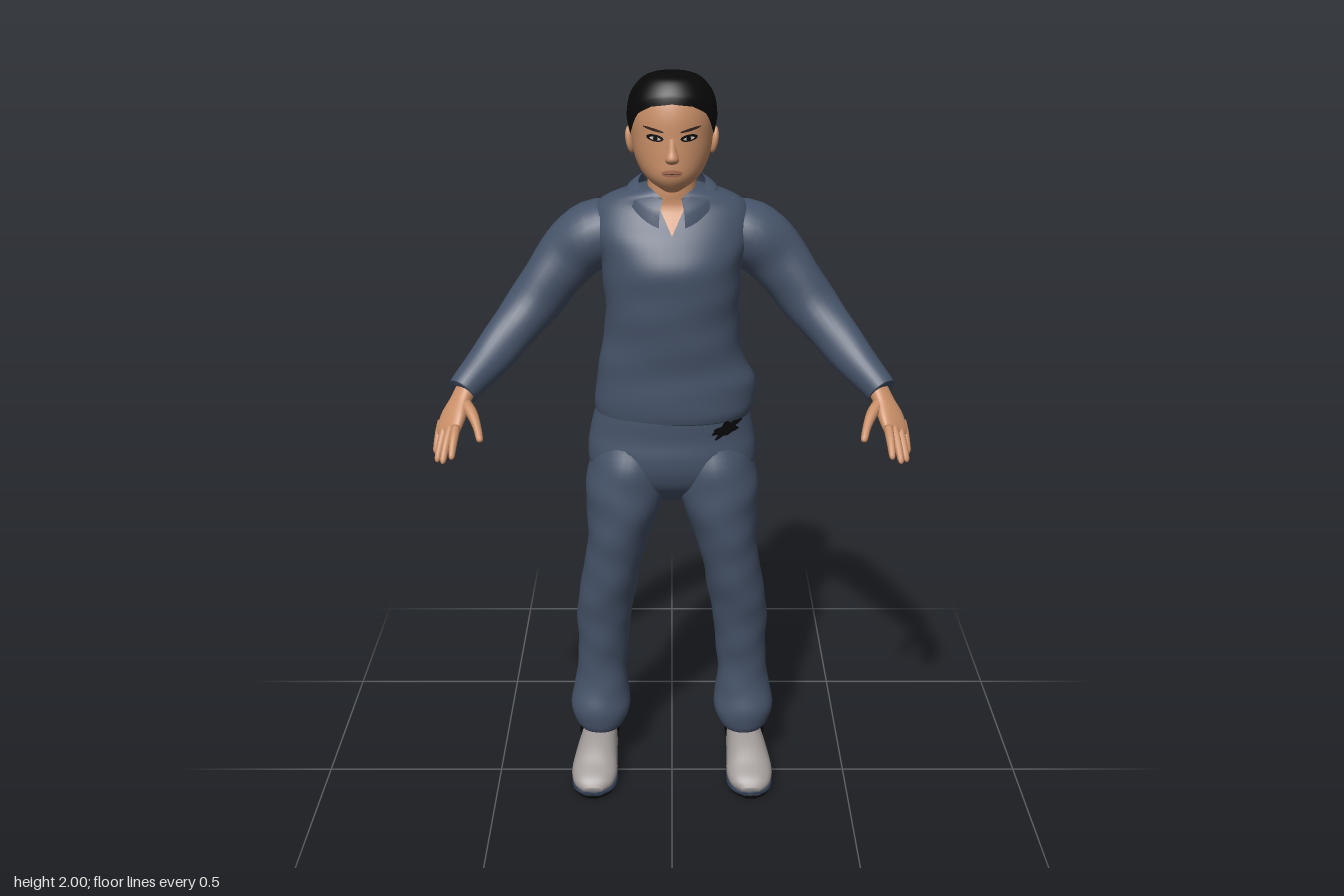
import * as THREE from 'three';
import { mergeVertices } from 'three/addons/utils/BufferGeometryUtils.js';

const mat = (name, color, side = THREE.FrontSide) => {
  const m = new THREE.MeshStandardMaterial({ color, side });
  m.name = name;
  return m;
};

// Smooth surface from a rule fn(u, v) -> [x, y, z]; s = -1 mirrors it in x.
function grid(nu, nv, fn, s = 1) {
  const pos = [], idx = [];
  for (let j = 0; j <= nv; j++) for (let i = 0; i <= nu; i++) {
    const p = fn(i / nu, j / nv);
    pos.push(p[0] * s, p[1], p[2]);
  }
  for (let j = 0; j < nv; j++) for (let i = 0; i < nu; i++) {
    const a = j * (nu + 1) + i, b = a + 1, c = a + nu + 1, d = c + 1;
    if (s > 0) idx.push(a, b, d, a, d, c);
    else idx.push(a, d, b, a, c, d);
  }
  let g = new THREE.BufferGeometry();
  g.setAttribute('position', new THREE.Float32BufferAttribute(pos, 3));
  g.setIndex(idx);
  g = mergeVertices(g, 1e-5);
  g.computeVertexNormals();
  return g;
}

// Catmull-Rom sample of a list of number rows at fractional index t.
function sample(keys, t) {
  const n = keys.length - 1, i = Math.min(Math.floor(t), n - 1), f = t - i;
  const [a, b, c, d] = [i - 1, i, i + 1, i + 2].map(k => keys[Math.min(Math.max(k, 0), n)]);
  return b.map((_, k) => b[k] + 0.5 * f * (c[k] - a[k] + f * (2 * a[k] - 5 * b[k] + 4 * c[k] - d[k]
    + f * (3 * (b[k] - c[k]) + d[k] - a[k]))));
}

const pw = (c, n) => Math.sign(c) * Math.abs(c) ** (2 / n);

// Closed loft through rows [x, y, z, ru, rv]. Without ref the rings are level (ru = z, rv = x, rows go up).
function loft(keys, { ref = null, seg = 28, steps = 5, n = 2, fold = 0, s = 1 } = {}) {
  const last = keys.length - 1, rows = last * steps + 2;
  return grid(seg, rows, (u, v) => {
    const r = Math.round(v * rows), cap = r === 0 || r === rows;
    const t = Math.min(Math.max((r - 1) / steps, 0), last);
    const k = sample(keys, t);
    let U = new THREE.Vector3(0, 0, 1), V = new THREE.Vector3(1, 0, 0);
    if (ref) {
      const p = sample(keys, Math.max(t - 0.05, 0)), q = sample(keys, Math.min(t + 0.05, last));
      const T = new THREE.Vector3(q[0] - p[0], q[1] - p[1], q[2] - p[2]).normalize();
      U = new THREE.Vector3(...ref).cross(T).normalize();
      V = T.clone().cross(U);
    }
    const a = (Math.round(u * seg) % seg) / seg * Math.PI * 2;
    const w = cap ? 0 : 1 + fold * (Math.sin(3 * a + k[1] * 34) + Math.sin(2 * a - k[1] * 57)) / 2;
    const cu = pw(Math.cos(a), n) * Math.max(k[3], 0) * w, cv = pw(Math.sin(a), n) * Math.max(k[4], 0) * w;
    return [0, 1, 2].map(c => k[c] + U.getComponent(c) * cu + V.getComponent(c) * cv);
  }, s);
}

export function createModel() {
  const root = new THREE.Group();
  root.name = 'woman';
  const blue = mat('blue cloth', 0x465369, THREE.DoubleSide), skin = mat('skin', 0xc88e67);
  const black = mat('black', 0x080808), grey = mat('shoe grey', 0x9e9896), navy = mat('sole navy', 0x2f3b50);
  const lip = mat('lips', 0xa86c55), white = mat('eye white', 0xcfc4ba), brow = mat('brow', 0x33221a);
  const add = (name, geo, m, parent = root) => {
    const mesh = new THREE.Mesh(geo, m);
    mesh.name = name;
    parent.add(mesh);
    return mesh;
  };

  // Thin face laid on the front of some meshes.
  const ray = new THREE.Raycaster();
  const drape = (targets, lift, nu, nv, fn) => grid(nu, nv, (u, v) => {
    const [x, y] = fn(u, v);
    ray.set(new THREE.Vector3(x, y, 1), new THREE.Vector3(0, 0, -1));
    const hit = ray.intersectObjects(targets)[0];
    return [x, y, (hit ? hit.point.z : 0) + lift];
  });
  const disc = (x, y, rx, ry, tilt = 0, wob = 0) => (u, v) => {
    const a = -u * Math.PI * 2, r = v * (1 + wob * Math.sin(5 * a) + wob * Math.sin(8 * a + 1));
    return [x + rx * r * Math.cos(a), y + ry * r * Math.sin(a) + tilt * rx * r * Math.cos(a)];
  };

  // Shirt and trousers
  const shirt = add('shirt', loft([
    [0.003, 1.10, -0.08, 0.137, 0.208], [0.008, 1.13, -0.078, 0.141, 0.214], [0.01, 1.19, -0.075, 0.137, 0.214],
    [0, 1.25, -0.07, 0.135, 0.192], [0, 1.35, -0.067, 0.143, 0.177], [0, 1.45, -0.07, 0.155, 0.178],
    [0, 1.52, -0.073, 0.156, 0.186], [0, 1.58, -0.086, 0.146, 0.2], [0, 1.63, -0.097, 0.122, 0.205],
    [0, 1.668, -0.095, 0.098, 0.185], [0, 1.695, -0.085, 0.085, 0.135], [0, 1.715, -0.075, 0.06, 0.07],
  ], { n: 2.2, fold: 0.014, seg: 48 }), blue);
  const hips = add('trouserHips', loft([
    [0, 0.85, -0.06, 0.03, 0.08], [0, 0.9, -0.06, 0.09, 0.18], [0, 0.95, -0.067, 0.122, 0.222],
    [0, 1.0, -0.075, 0.136, 0.228], [0, 1.05, -0.082, 0.138, 0.221], [0, 1.12, -0.078, 0.134, 0.203],
    [0, 1.18, -0.07, 0.11, 0.18],
  ], { n: 2.1, seg: 48 }), blue);

  // Open neck and folded collar
  add('neckOpening', drape([shirt], 0.004, 6, 8, (u, v) => [(u - 0.5) * 0.085 * v, 1.605 + 0.085 * v]), skin);
  add('neck', loft([[0, 1.62, -0.07, 0.06, 0.07], [0, 1.68, -0.06, 0.064, 0.066],
    [0, 1.73, -0.06, 0.064, 0.062], [0, 1.79, -0.07, 0.066, 0.066]]), skin);
  add('collar', grid(40, 5, (u, v) => {
    const a = 0.28 + u * (Math.PI * 2 - 0.56), c = Math.cos(a);
    const low = 1.7 - 0.08 * Math.max(0, c) ** 1.5, top = 1.72 - 0.03 * c;
    const rx = 0.12 - 0.034 * v, rz = 0.118 - 0.036 * v;
    return [rx * Math.sin(a), low + (top - low) * Math.sqrt(v), -0.075 + 0.004 * v + rz * c];
  }), blue);

  // Head, with hair as a shell above the hairline
  const headKeys = [
    [0, 1.715, 0.005, 0.03, 0.02], [0, 1.735, -0.008, 0.063, 0.053], [0, 1.76, -0.03, 0.096, 0.078],
    [0, 1.80, -0.045, 0.111, 0.096], [0, 1.85, -0.053, 0.117, 0.104], [0, 1.90, -0.054, 0.115, 0.106],
    [0, 1.945, -0.052, 0.1, 0.096], [0, 1.98, -0.048, 0.068, 0.066], [0, 1.993, -0.045, 0.03, 0.03],
  ];
  const head = add('head', loft(headKeys, { seg: 40 }), skin);
  const line = [[0, 5.75], [0.5, 5.6], [0.9, 5.15], [1.15, 4.4], [1.35, 4], [1.6, 3.9], [1.85, 2.9], [2.2, 2.2], [3.15, 1.8]];
  const hairline = a => {
    const i = line.findIndex((p, k) => k > 0 && p[0] >= a);
    const [a0, h0] = line[i - 1], [a1, h1] = line[i];
    return h0 + (h1 - h0) * (a - a0) / (a1 - a0);
  };
  add('hair', grid(64, 20, (u, v) => {
    const a = (Math.round(u * 64) % 64) / 64 * Math.PI * 2;
    const low = hairline(Math.min(a, Math.PI * 2 - a));
    const k = sample(headKeys, low + (8 - low) * v), e = v === 1 ? 0 : 1, lift = 0.002 + 0.005 * Math.min(1, v * 5);
    return [(k[4] + lift) * Math.sin(a) * e, k[1] + lift * v, k[2] + (k[3] + lift) * Math.cos(a) * e];
  }), black);
  add('ponytail', loft([
    [0, 1.885, -0.145, 0.02, 0.022], [0, 1.897, -0.178, 0.022, 0.024], [0, 1.865, -0.205, 0.03, 0.034],
    [0, 1.78, -0.215, 0.038, 0.042], [0, 1.70, -0.218, 0.036, 0.038], [0, 1.62, -0.228, 0.024, 0.026],
    [0, 1.565, -0.234, 0.006, 0.008],
  ], { ref: [1, 0, 0], fold: 0.04 }), black);

  // Face
  add('nose', loft([[0, 1.79, 0.058, 0.008, 0.012], [0, 1.802, 0.061, 0.019, 0.018],
    [0, 1.825, 0.06, 0.012, 0.012], [0, 1.86, 0.056, 0.006, 0.01]]), skin);
  add('lips', drape([head], 0.003, 20, 3, disc(0, 1.768, 0.027, 0.009)), lip);
  add('mouthLine', drape([head], 0.0045, 16, 2, disc(0, 1.768, 0.024, 0.0012)), brow);
  for (const s of [1, -1]) {
    add('eyeOutline', drape([head], 0.003, 20, 3, disc(s * 0.042, 1.854, 0.021, 0.0085, s * 0.1)), black);
    add('eyeWhite', drape([head], 0.0045, 16, 2, disc(s * 0.042, 1.853, 0.014, 0.004, s * 0.1)), white);
    add('iris', drape([head], 0.006, 16, 2, disc(s * 0.041, 1.853, 0.006, 0.005)), black);
    add('eyebrow', drape([head], 0.003, 16, 2, disc(s * 0.046, 1.874, 0.026, 0.0035, s * 0.22)), brow);
    const ear = add('ear', new THREE.SphereGeometry(1, 16, 12), skin);
    ear.position.set(s * 0.105, 1.832, -0.046);
    ear.scale.set(0.011, 0.034, 0.019);
    ear.rotation.set(0, s * 0.3, -s * 0.15);
  }

  // Limbs, once for each side
  const across = [0.67, 0, -0.74];
  const tips = [[0.555, 1.085, 0.252], [0.58, 1.068, 0.239], [0.598, 1.062, 0.212], [0.606, 1.07, 0.174]];
  const shoeRows = [ // z, x, middle y, half height, half width
    [-0.138, 0.21, 0.07, 0.02, 0.02], [-0.12, 0.21, 0.075, 0.045, 0.042], [-0.06, 0.212, 0.077, 0.059, 0.052],
    [0.02, 0.218, 0.064, 0.053, 0.06], [0.08, 0.222, 0.046, 0.038, 0.065], [0.125, 0.224, 0.034, 0.026, 0.053],
    [0.148, 0.224, 0.026, 0.01, 0.025],
  ];
  const soleRows = (y, h, w) => shoeRows.map(([z, x, , , rv], i) => [x, y + Math.max(0, 4 - i) * 0.006, z, h, rv + w]);
  const cloth = [shirt, hips];
  for (const s of [1, -1]) {
    const side = new THREE.Group();
    side.name = s > 0 ? 'leftLimbs' : 'rightLimbs';
    root.add(side);
    const part = (name, keys, m, o = {}) => add(name, loft(keys, { ...o, s }), m, side);

    part('sleeve', [
      [0.1, 1.592, -0.105, 0.07, 0.075], [0.2, 1.574, -0.108, 0.091, 0.088], [0.283, 1.503, -0.108, 0.079, 0.078],
      [0.372, 1.387, -0.075, 0.069, 0.064], [0.458, 1.292, -0.002, 0.056, 0.052], [0.523, 1.228, 0.065, 0.045, 0.042],
      [0.542, 1.208, 0.087, 0.04, 0.038],
    ], blue, { ref: [0, 0, 1], fold: 0.035 });
    part('palm', [
      [0.525, 1.225, 0.075, 0.024, 0.028], [0.545, 1.19, 0.108, 0.02, 0.03], [0.56, 1.16, 0.135, 0.019, 0.04],
      [0.572, 1.13, 0.162, 0.014, 0.04], [0.577, 1.12, 0.172, 0.006, 0.034],
    ], skin, { ref: across, n: 2.4 });
    tips.forEach((t, i) => {
      const b = [0.55 + 0.014 * i, 1.143 - 0.001 * i, 0.177 - 0.017 * i];
      const row = (f, r) => [...b.map((c, k) => c + (t[k] - c) * f + (k === 1 ? 0.006 * Math.sin(f * Math.PI) : 0)), r, r];
      part('finger', [row(0, 0.012), row(0.35, 0.0115), row(0.65, 0.01), row(0.92, 0.008), row(1, 0.003)],
        skin, { ref: across, seg: 12, steps: 3 });
    });
    part('thumb', [[0.538, 1.19, 0.11, 0.016, 0.016], [0.512, 1.172, 0.15, 0.015, 0.015],
      [0.495, 1.148, 0.187, 0.011, 0.011], [0.486, 1.125, 0.215, 0.009, 0.009], [0.484, 1.12, 0.221, 0.003, 0.003]],
    skin, { ref: across, seg: 12, steps: 3 });

    cloth.push(part('trouserLeg', [
      [0.208, 0.125, -0.065, 0.068, 0.06], [0.209, 0.145, -0.065, 0.076, 0.072], [0.209, 0.19, -0.067, 0.08, 0.087],
      [0.205, 0.25, -0.074, 0.074, 0.077], [0.202, 0.32, -0.078, 0.07, 0.07], [0.196, 0.41, -0.075, 0.078, 0.073],
      [0.191, 0.5, -0.07, 0.086, 0.078], [0.177, 0.59, -0.057, 0.094, 0.08], [0.157, 0.7, -0.046, 0.101, 0.08],
      [0.138, 0.8, -0.052, 0.12, 0.096], [0.122, 0.9, -0.061, 0.13, 0.114], [0.112, 0.98, -0.072, 0.128, 0.108],
      [0.1, 1.06, -0.077, 0.105, 0.085],
    ], blue, { fold: 0.025, seg: 32 }));

    part('ankle', [[0.214, 0.05, -0.09, 0.042, 0.05], [0.214, 0.07, -0.09, 0.051, 0.057],
      [0.213, 0.12, -0.087, 0.054, 0.056], [0.208, 0.16, -0.075, 0.05, 0.05]], black);
    part('shoe', shoeRows.map(([z, x, y, h, w]) => [x, y, z, h, w]), grey, { ref: [-1, 0, 0], n: 2.3 });
    part('soleRim', soleRows(0.016, 0.008, 0), navy, { ref: [-1, 0, 0], n: 3 });
    part('sole', soleRows(0.007, 0.007, -0.004), black, { ref: [-1, 0, 0], n: 3 });
  }
  add('trouserMark', drape(cloth, 0.004, 40, 5, disc(0.145, 1.081, 0.036, 0.019, 0.3, 0.16)), black);
  return root;
}
